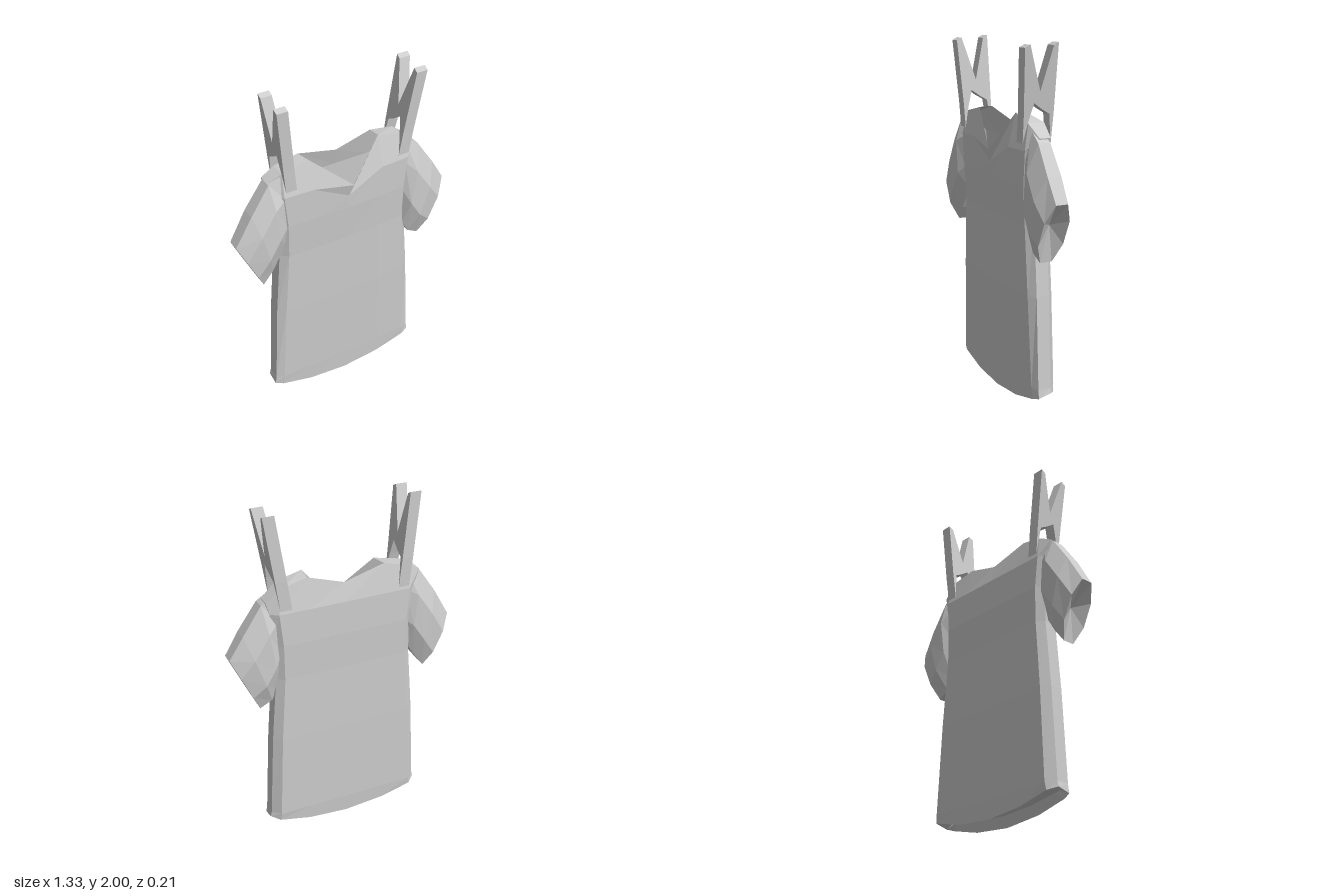
import * as THREE from 'three';

const fabric = new THREE.MeshStandardMaterial({ color: 0xcccccc, flatShading: true, side: THREE.DoubleSide });
fabric.name = 'pale grey';

// Mesh from a list of faces, each a convex loop of [x, y, z] corners
function faceMesh(name, faces) {
  const pos = [];
  for (const f of faces)
    for (let i = 1; i < f.length - 1; i++) pos.push(...f[0], ...f[i], ...f[i + 1]);
  const g = new THREE.BufferGeometry();
  g.setAttribute('position', new THREE.Float32BufferAttribute(pos, 3));
  g.computeVertexNormals();
  const m = new THREE.Mesh(g, fabric);
  m.name = name;
  return m;
}

// Quads joining successive loops of equal length
function loft(rings) {
  const faces = [];
  for (let i = 0; i < rings.length - 1; i++) {
    const a = rings[i], b = rings[i + 1], n = a.length;
    for (let j = 0; j < n; j++) {
      const k = (j + 1) % n;
      faces.push([a[j], a[k], b[k], b[j]]);
    }
  }
  return faces;
}

// Fan of triangles from a closing loop to one point
const fan = (ring, p) => ring.map((v, j) => [v, ring[(j + 1) % ring.length], p]);

function torso() {
  // Loop: across the front from -x to +x, then back again
  const across = [-1, -0.9, -0.5, 0, 0.5, 0.9, 1];
  const ring = (w, yAt, zf, zb) => [
    ...across.map(f => [f * w, yAt(f, true), Math.abs(f) === 1 ? 0.02 : zf * (1 - 0.2 * f * f)]),
    ...across.slice().reverse().map(f => [f * w, yAt(f, false), Math.abs(f) === 1 ? -0.055 : zb]),
  ];
  const flat = y => () => y;
  const top = [
    [-0.46, 1.53, 0.015], [-0.38, 1.57, 0.035], [-0.22, 1.605, 0.035], [0.02, 1.4, 0.1],
    [0.21, 1.62, 0.03], [0.36, 1.58, 0.035], [0.45, 1.51, 0.015],
    [0.45, 1.51, -0.05], [0.36, 1.58, -0.06], [0.21, 1.61, -0.05], [0, 1.545, -0.06],
    [-0.24, 1.605, -0.05], [-0.38, 1.57, -0.06], [-0.46, 1.53, -0.05],
  ];
  const rings = [
    ring(0.42, f => 0.06 + 0.05 * f * f, 0.015, -0.05),               // recessed underside
    ring(0.475, (f, front) => (front ? 0 : 0.02) + 0.08 * f * f, 0.04, -0.095), // hem
    ring(0.468, flat(0.13), 0.046, -0.1),
    ring(0.44, flat(0.65), 0.062, -0.095),
    ring(0.408, flat(1.04), 0.068, -0.09),
    ring(0.41, flat(1.25), 0.08, -0.092),
    ring(0.43, (f, front) => (front && f === 0 ? 1.33 : 1.44), 0.082, -0.087),
    top,
  ];
  const faces = loft(rings);
  // Underside strips and shoulder caps; the neck stays open
  const strip = (r, j) => [r[j], r[j + 1], r[12 - j], r[13 - j]];
  for (let j = 0; j < 6; j++) faces.push(strip(rings[0], j).reverse());
  for (const j of [0, 1, 4, 5]) faces.push(strip(top, j));
  return faceMesh('shirtBody', faces);
}

function sleeve(side, name, sections) {
  // Each section: top x, top y, bottom x, bottom y, half depth at the middle, at the ends
  const rings = sections.map(([tx, ty, bx, by, d, e]) => {
    const around = [[0, e], [0.3, d], [0.7, d], [1, e], [1, -e], [0.7, -d], [0.3, -d], [0, -e]];
    const r = around.map(([t, z]) => [side * (tx + (bx - tx) * t), ty + (by - ty) * t, z]);
    return side > 0 ? r : r.reverse();
  });
  const cuff = rings[rings.length - 1];
  const [tx, ty, bx, by] = sections[sections.length - 1];
  // Cuff opening folded inwards
  const hollow = [side * ((tx + bx) / 2 - 0.05), (ty + by) / 2 + 0.04, 0];
  return faceMesh(name, [...loft(rings), ...fan(cuff, hollow)]);
}

// Clothes peg: side profile extruded across x, then leaned outwards
function peg(side, name, lean, width) {
  const s = new THREE.Shape([
    [0.08, 1.48], [0.085, 1.62], [0.108, 1.975], [0.078, 1.99], [0, 1.75],
    [-0.058, 1.985], [-0.085, 2], [-0.09, 1.63], [-0.088, 1.46], [-0.065, 1.63],
    [-0.02, 1.655], [0.03, 1.69], [0.055, 1.6],
  ].map(([z, y]) => new THREE.Vector2(-z, y)));
  const g = new THREE.ExtrudeGeometry(s, { depth: width, bevelEnabled: false });
  g.translate(0, 0, -width / 2);
  g.rotateY(Math.PI / 2);
  const p = g.attributes.position;
  for (let i = 0; i < p.count; i++)
    p.setX(i, p.getX(i) + side * (0.35 + lean * (p.getY(i) - 1.48)));
  g.computeVertexNormals();
  const m = new THREE.Mesh(g, fabric);
  m.name = name;
  return m;
}

export function createModel() {
  const model = new THREE.Group();
  model.name = 'hangingShirt';
  model.add(
    torso(),
    sleeve(1, 'leftSleeve', [
      [0.38, 1.55, 0.37, 1.06, 0.06, 0.03],
      [0.47, 1.49, 0.39, 0.97, 0.09, 0.035],
      [0.58, 1.33, 0.43, 0.9, 0.095, 0.04],
      [0.66, 1.2, 0.5, 0.86, 0.075, 0.035],
    ]),
    sleeve(-1, 'rightSleeve', [
      [0.38, 1.56, 0.37, 1.1, 0.06, 0.03],
      [0.46, 1.53, 0.41, 1.05, 0.085, 0.035],
      [0.57, 1.37, 0.46, 0.97, 0.09, 0.04],
      [0.668, 1.2, 0.52, 0.89, 0.075, 0.035],
    ]),
    peg(1, 'leftPeg', 0.15, 0.066),
    peg(-1, 'rightPeg', 0.1, 0.064),
  );
  return model;
}
